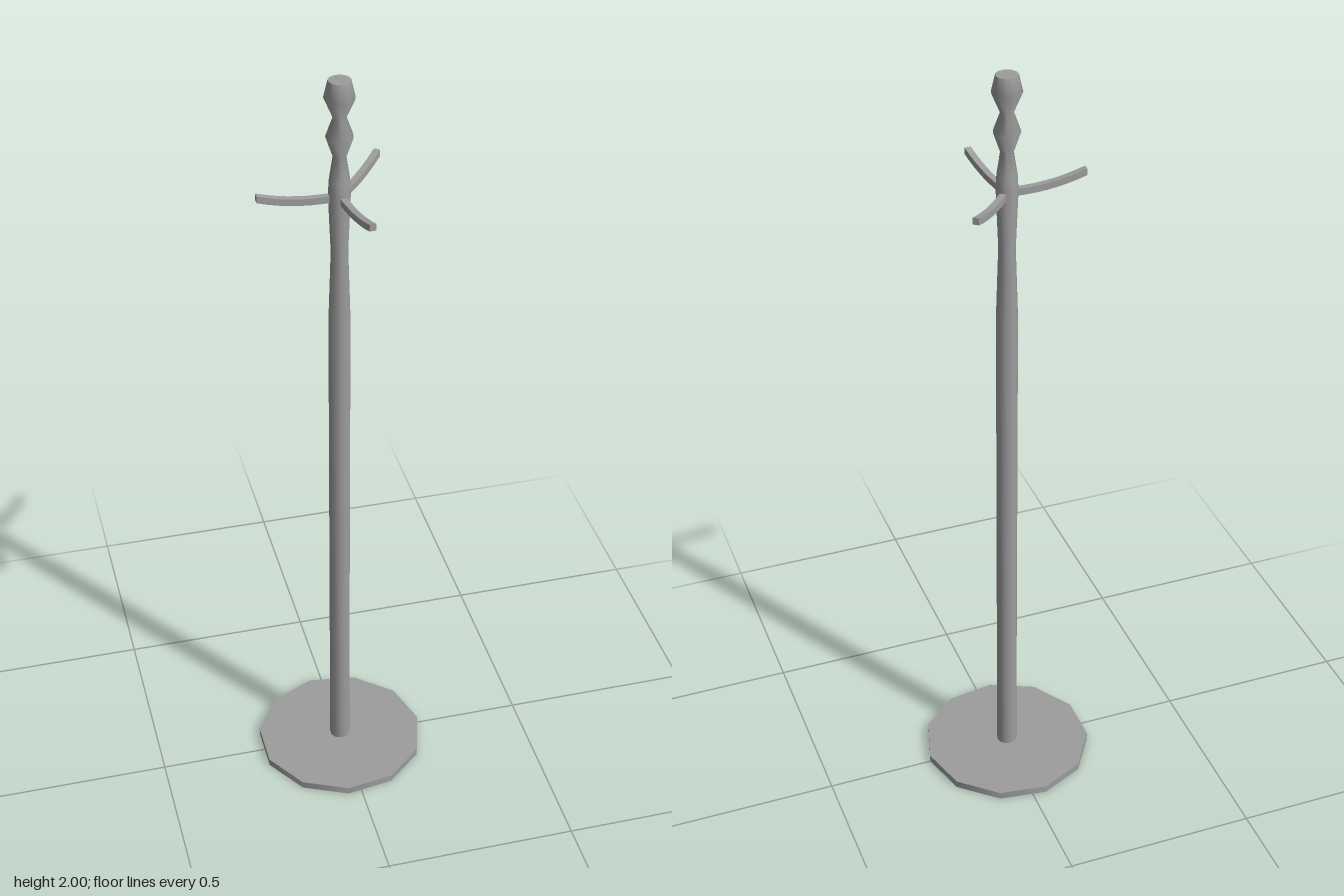
import * as THREE from 'three';
import { toCreasedNormals } from 'three/addons/utils/BufferGeometryUtils.js';

const SIDES = 11;
const AXIS_X = -0.005; // the round parts sit slightly off the bounding-box centre

export function createModel() {
  const group = new THREE.Group();
  group.name = 'coatStand';
  const material = new THREE.MeshStandardMaterial({ color: 0x9d9d9d });

  const add = (name, geometry) => {
    const mesh = new THREE.Mesh(geometry, material);
    mesh.name = name;
    mesh.position.x = AXIS_X;
    group.add(mesh);
    return mesh;
  };

  // Flat eleven-sided foot with a corner towards +x
  const base = add('base', new THREE.CylinderGeometry(0.2235, 0.2235, 0.02, SIDES, 1, false, Math.PI / 2));
  base.position.y = 0.01;

  // Turned pole: straight shaft, waist, swelling, two beads and a flat top
  const profile = [
    [0.027, 0.01], [0.027, 1.37], [0.021, 1.56], [0.027, 1.71], [0.025, 1.75],
    [0.016, 1.81], [0.033, 1.86], [0.016, 1.908], [0.037, 1.957],
    [0.027, 2], [0, 2],
  ].map(([r, y]) => new THREE.Vector2(r, y));
  const pole = new THREE.LatheGeometry(profile, SIDES, Math.PI / 2);
  add('pole', toCreasedNormals(pole, 1));

  // Hook arm: a thin bar that leaves the pole level and sweeps up to its tip
  const length = 0.197;
  const arm = new THREE.BoxGeometry(length, 0.017, 0.016, 8, 1, 1);
  arm.translate(length / 2, 0, 0);
  const p = arm.attributes.position;
  for (let i = 0; i < p.count; i++) {
    const t = Math.max(0, (p.getX(i) - 0.05) / (length - 0.05));
    p.setY(i, 1.705 + p.getY(i) + 0.023 * t * t);
  }
  arm.computeVertexNormals();

  // Three arms around the pole, angles measured from +x towards +z
  [180, 82, -49].forEach((degrees, i) => {
    add('hookArm' + (i + 1), arm).rotation.y = -THREE.MathUtils.degToRad(degrees);
  });

  return group;
}
